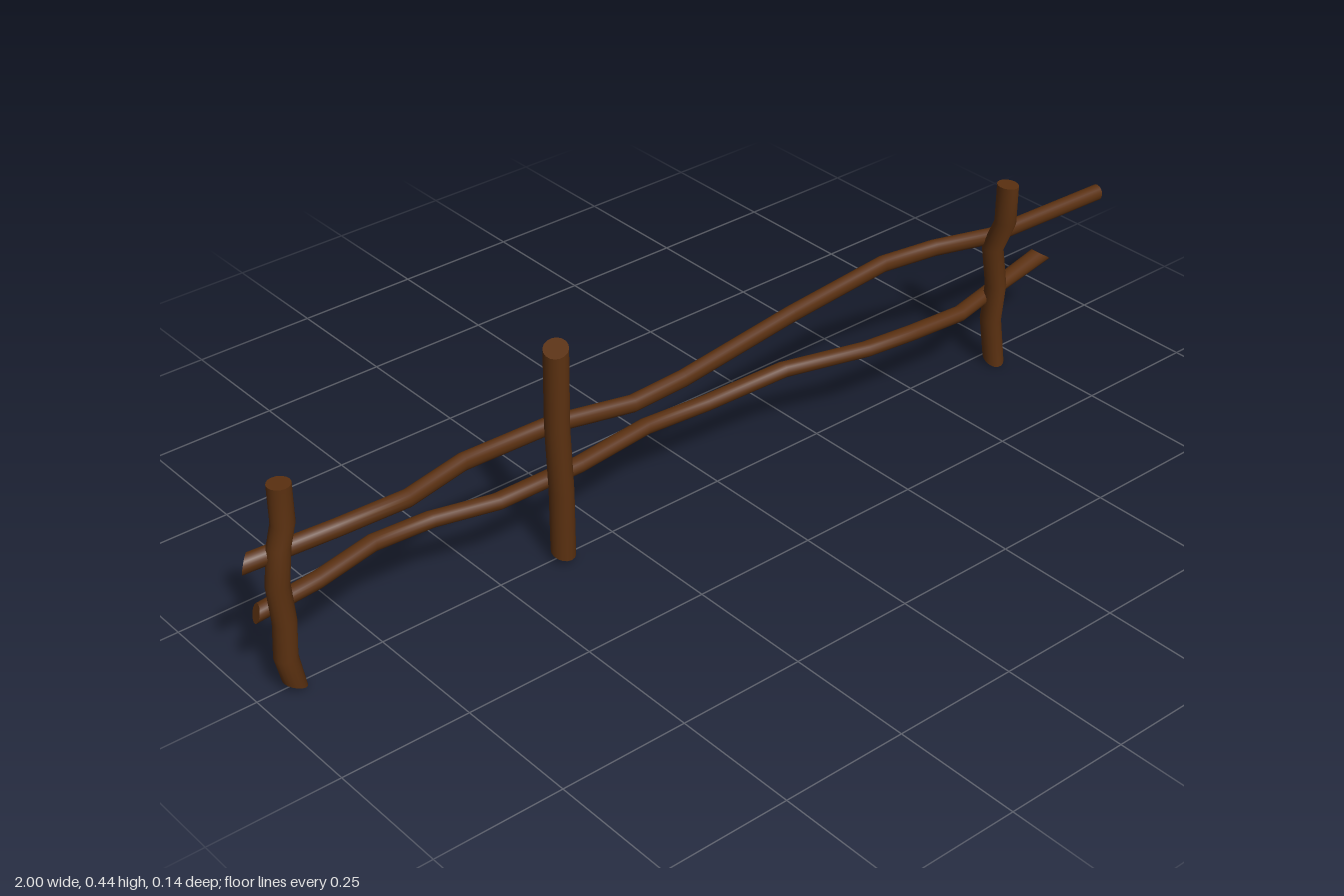
import * as THREE from 'three';

const SIDES = 16;
const bark = new THREE.MeshStandardMaterial({ color: 0x5a3010 });

// Sweeps an oval section along a crooked path of [x, y, z] points.
// dir is the main axis (u x v = dir); tilts slant the two sawn ends: [along u, along v].
function branch(name, axis, path, ru, rv, startTilt = [0, 0], endTilt = [0, 0]) {
  const X = new THREE.Vector3(1, 0, 0), Y = new THREE.Vector3(0, 1, 0), Z = new THREE.Vector3(0, 0, 1);
  const [dir, u, v] = axis === 'x' ? [X, Y, Z] : [Y, Z, X];
  const pos = [], index = [];
  const last = path.length - 1;

  const ring = (i) => {
    const tilt = i === 0 ? startTilt : i === last ? endTilt : [0, 0];
    const start = pos.length / 3;
    for (let j = 0; j < SIDES; j++) {
      const t = (j / SIDES) * Math.PI * 2;
      const a = Math.cos(t) * ru, b = Math.sin(t) * rv;
      const p = new THREE.Vector3(...path[i])
        .addScaledVector(u, a).addScaledVector(v, b)
        .addScaledVector(dir, a * tilt[0] + b * tilt[1]);
      pos.push(p.x, p.y, p.z);
    }
    return start;
  };

  // Bark
  path.forEach((_, i) => ring(i));
  for (let i = 0; i < last; i++) {
    for (let j = 0; j < SIDES; j++) {
      const k = (j + 1) % SIDES;
      const a = i * SIDES + j, b = i * SIDES + k;
      index.push(a, b, b + SIDES, a, b + SIDES, a + SIDES);
    }
  }

  // Sawn ends, with their own vertices for sharp rims
  for (const i of [0, last]) {
    const s = ring(i);
    for (let j = 1; j < SIDES - 1; j++) {
      if (i === 0) index.push(s, s + j + 1, s + j);
      else index.push(s, s + j, s + j + 1);
    }
  }

  const geometry = new THREE.BufferGeometry();
  geometry.setAttribute('position', new THREE.Float32BufferAttribute(pos, 3));
  geometry.setIndex(index);
  geometry.computeVertexNormals();
  const mesh = new THREE.Mesh(geometry, bark);
  mesh.name = name;
  return mesh;
}

export function createModel() {
  const fence = new THREE.Group();
  fence.name = 'rusticFence';

  // Upright posts
  fence.add(
    branch('rightPost', 'y', [
      [-0.93, 0.012, 0.008], [-0.943, 0.075, 0.01], [-0.935, 0.14, 0.004],
      [-0.943, 0.22, 0.008], [-0.932, 0.29, 0.006], [-0.92, 0.33, 0.005], [-0.92, 0.405, 0.005],
    ], 0.021, 0.021, [0, -0.4], [0, 0]),
    branch('middlePost', 'y', [
      [-0.368, 0.018, 0.009], [-0.367, 0.15, 0.009], [-0.37, 0.28, 0.007], [-0.365, 0.436, 0.005],
    ], 0.024, 0.022, [-0.25, 0], [-0.2, 0.3]),
    branch('leftPost', 'y', [
      [0.695, 0.012, 0.034], [0.69, 0.1, 0.025], [0.692, 0.18, 0.031],
      [0.687, 0.26, 0.022], [0.692, 0.325, 0.046], [0.693, 0.405, 0.046],
    ], 0.023, 0.019, [-0.4, 0.2], [0, 0]),
  );

  // Crooked rails
  fence.add(
    branch('upperRail', 'x', [
      [-0.985, 0.267, -0.016], [-0.83, 0.284, 0.017], [-0.69, 0.28, 0.017], [-0.55, 0.272, -0.022],
      [-0.36, 0.27, -0.02], [-0.2, 0.256, 0.002], [-0.08, 0.257, -0.003], [0.2, 0.274, -0.025],
      [0.45, 0.282, -0.042], [0.57, 0.281, -0.025], [0.7, 0.273, 0.003], [1, 0.268, 0.007],
    ], 0.017, 0.015, [0.2, -0.9], [0, 0]),
    branch('lowerRail', 'x', [
      [-0.97, 0.156, -0.024], [-0.85, 0.167, -0.024], [-0.72, 0.164, -0.056], [-0.6, 0.158, -0.056],
      [-0.48, 0.157, -0.026], [-0.3, 0.157, -0.026], [-0.13, 0.153, -0.05], [0.01, 0.147, -0.046],
      [0.18, 0.163, -0.022], [0.35, 0.162, 0.024], [0.47, 0.153, 0.026], [0.6, 0.145, 0.025],
      [0.72, 0.149, 0.002], [0.88, 0.157, -0.024],
    ], 0.015, 0.017, [0.4, -0.3], [-1.4, 0]),
  );

  return fence;
}
